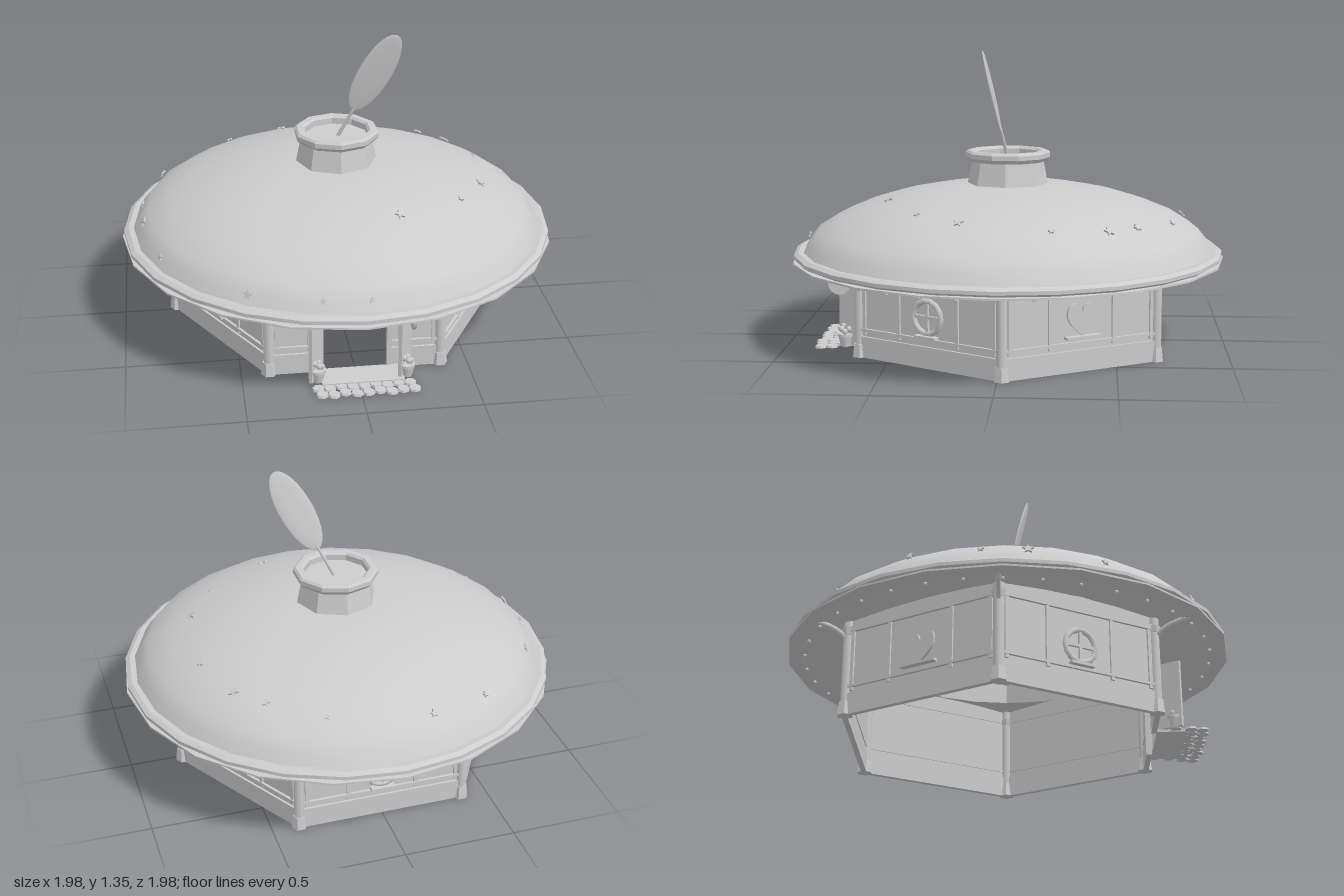
import * as THREE from 'three';
import { toCreasedNormals } from 'three/addons/utils/BufferGeometryUtils.js';

const stone = new THREE.MeshStandardMaterial({ color: 0xcccccc });
const R = 0.76, APO = R * Math.cos(Math.PI / 6), CZ = -0.02;

const flat = (g, a = 0.5) => toCreasedNormals(g, a);
const pts = (a) => a.map(([x, y]) => new THREE.Vector2(x, y));

function add(parent, name, geo, x = 0, y = 0, z = 0) {
  const m = new THREE.Mesh(geo, stone);
  m.name = name;
  m.position.set(x, y, z);
  parent.add(m);
  return m;
}
const box = (p, n, w, h, d, x, y, z) => add(p, n, new THREE.BoxGeometry(w, h, d), x, y, z);

// Dome profile: radius and height
const domeProfile = [[0.945, 0.43], [0.915, 0.48], [0.875, 0.53], [0.78, 0.59], [0.66, 0.64],
  [0.52, 0.683], [0.36, 0.715], [0.2, 0.733], [0, 0.737]];

function domeAt(r) {
  for (let i = 0; i < domeProfile.length - 1; i++) {
    const [r0, y0] = domeProfile[i], [r1, y1] = domeProfile[i + 1];
    if (r <= r0 && r >= r1) {
      const t = (r0 - r) / (r0 - r1);
      return { y: y0 + (y1 - y0) * t, tilt: Math.atan2(y1 - y0, r0 - r1) };
    }
  }
  return { y: 0.44, tilt: 1 };
}

function starGeometry(r) {
  const s = new THREE.Shape();
  for (let i = 0; i < 10; i++) {
    const q = i % 2 ? r * 0.45 : r, a = (i * Math.PI) / 5;
    if (i) s.lineTo(q * Math.sin(a), q * Math.cos(a));
    else s.moveTo(0, q);
  }
  s.closePath();
  return new THREE.ExtrudeGeometry(s, { depth: 0.008, bevelEnabled: false });
}

function heartShape(w) {
  const s = new THREE.Shape();
  s.moveTo(0, -w);
  s.bezierCurveTo(-0.5 * w, -0.6 * w, -w, -0.2 * w, -w, 0.3 * w);
  s.bezierCurveTo(-w, 1.1 * w, -0.1 * w, 1.1 * w, 0, 0.5 * w);
  s.bezierCurveTo(0.1 * w, 1.1 * w, w, 1.1 * w, w, 0.3 * w);
  s.bezierCurveTo(w, -0.2 * w, 0.5 * w, -0.6 * w, 0, -w);
  return s;
}

function buildRoof(g) {
  const roof = new THREE.Group();
  roof.name = 'roof';
  g.add(roof);
  add(roof, 'dome', new THREE.LatheGeometry(pts(domeProfile), 24));
  add(roof, 'rim', flat(new THREE.LatheGeometry(pts([[0.9, 0.4], [0.965, 0.4], [0.985, 0.412],
    [0.985, 0.428], [0.965, 0.44], [0.93, 0.438]]), 24), 0.4));
  add(roof, 'eaveEdge', flat(new THREE.LatheGeometry(pts([[0.93, 0.392], [0.992, 0.392],
    [0.992, 0.4], [0.93, 0.404]]), 20), 0.4));
  add(roof, 'soffit', new THREE.LatheGeometry(pts([[0.655, 0.452], [0.94, 0.395]]), 24));
  // Domed ceiling, seen from inside the house
  const inner = domeProfile.slice(3).reverse().map(([r, y]) => [r, y - 0.012]);
  add(roof, 'ceiling', new THREE.LatheGeometry(pts(inner), 24));

  // Stars: x, z, radius
  const stars = [[-0.18, -0.81, 0.02], [-0.45, -0.72, 0.014], [0.27, -0.74, 0.014], [0.49, -0.58, 0.02],
    [0.6, -0.46, 0.025], [0.69, -0.22, 0.014], [-0.79, -0.38, 0.02], [-0.89, -0.09, 0.014],
    [-0.89, 0.1, 0.025], [-0.82, 0.41, 0.016], [0.64, 0.17, 0.025], [0.51, 0.36, 0.014],
    [0.21, 0.52, 0.025], [-0.47, 0.79, 0.025], [-0.17, 0.9, 0.018], [0.03, 0.915, 0.014]];
  for (const [x, z, r] of stars) {
    const d = domeAt(Math.hypot(x, z));
    const star = add(roof, 'star', starGeometry(r), x, d.y + 0.008, z);
    star.rotation.order = 'YXZ';
    star.rotation.y = Math.atan2(x, z);
    star.rotation.x = Math.min(0, d.tilt + 0.25 - Math.PI / 2);
  }
  // Hanging bulbs under the eave
  for (let i = 0; i < 36; i++) {
    const a = (i * Math.PI) / 18;
    add(roof, 'eaveBulb', new THREE.SphereGeometry(0.008, 6, 5),
      0.91 * Math.sin(a), 0.376 + 0.006 * Math.cos(3 * a), 0.91 * Math.cos(a));
  }
}

function buildChimney(g) {
  const c = new THREE.Group();
  c.name = 'chimney';
  g.add(c);
  add(c, 'chimneyStack', flat(new THREE.LatheGeometry(pts([[0.188, 0.72], [0.162, 0.85]]), 8)));
  add(c, 'chimneyCap', flat(new THREE.LatheGeometry(pts([[0.155, 0.838], [0.18, 0.838], [0.195, 0.855],
    [0.195, 0.876], [0.185, 0.886], [0.158, 0.886], [0.148, 0.876], [0.148, 0.848], [0, 0.848]]), 10), 0.3));

  // Feather: flattened blade on a thin stem
  const f = new THREE.Group();
  f.name = 'feather';
  f.position.set(0.01, 0.85, 0);
  const up = new THREE.Vector3(0.25, 0.5, 0.097).normalize();
  const side = new THREE.Vector3(1, 0, 0).addScaledVector(up, -up.x).normalize();
  f.quaternion.setFromRotationMatrix(
    new THREE.Matrix4().makeBasis(side, up, new THREE.Vector3().crossVectors(side, up)));
  add(f, 'featherStem', new THREE.CylinderGeometry(0.004, 0.009, 0.4, 6), 0, 0.16, 0);
  const blade = add(f, 'featherBlade', new THREE.SphereGeometry(1, 20, 14), 0, 0.355, 0);
  blade.scale.set(0.078, 0.21, 0.009);
  c.add(f);
}

function roundWindow(w) {
  const win = new THREE.Group();
  win.name = 'roundWindow';
  win.position.set(0, 0.225, 0.004);
  w.add(win);
  add(win, 'windowFrame', new THREE.TorusGeometry(0.072, 0.013, 6, 14));
  box(win, 'windowBar', 0.014, 0.14, 0.014, 0, 0, 0);
  box(win, 'windowBar', 0.14, 0.014, 0.014, 0, 0, 0);
  box(win, 'windowSill', 0.11, 0.012, 0.03, 0, -0.085, 0.012);
}

function heartWindow(w) {
  const s = heartShape(0.074);
  s.holes.push(new THREE.Path(heartShape(0.066).getPoints(8)));
  add(w, 'heartFrame', new THREE.ExtrudeGeometry(s,
    { depth: 0.014, bevelEnabled: false, curveSegments: 8 }), 0, 0.23, -0.002);
  box(w, 'heartSill', 0.17, 0.012, 0.03, 0, 0.152, 0.012);
}

function buildWall(g, i) {
  const w = new THREE.Group();
  const a = (i * Math.PI) / 3;
  w.name = 'wall';
  w.position.set(APO * Math.sin(a), 0, APO * Math.cos(a));
  w.rotation.y = a;
  g.add(w);

  // Panel up to the dome, with a doorway cut in the front one
  const H = 0.585, h = R / 2, s = new THREE.Shape();
  s.moveTo(-h, 0);
  if (i === 0) {
    s.lineTo(-0.14, 0); s.lineTo(-0.14, 0.3); s.lineTo(0.14, 0.3); s.lineTo(0.14, 0);
  }
  s.lineTo(h, 0); s.lineTo(h, H); s.lineTo(-h, H);
  s.closePath();
  add(w, 'wallPanel', new THREE.ExtrudeGeometry(s, { depth: 0.008, bevelEnabled: false }), 0, 0, -0.008);

  // Skirting, rails and uprights
  const runs = i === 0 ? [[-0.26, 0.23], [0.26, 0.23]] : [[0, R]];
  for (const [x, len] of runs) {
    box(w, 'skirting', len, 0.095, 0.024, x, 0.0475, -0.002);
    box(w, 'lowerRail', len, 0.012, 0.024, x, 0.126, 0);
  }
  box(w, 'topRail', R, 0.025, 0.024, 0, 0.388, 0);
  const off = i === 0 ? 0.2 : 0.155;
  for (const x of [-0.345, -off, off, 0.345])
    box(w, 'upright', 0.016, 0.29, 0.014, x, 0.25, 0.002);

  if (i === 0) buildDoor(w);
  else if (i === 2 || i === 4) heartWindow(w);
  else roundWindow(w);
}

function buildDoor(w) {
  const arch = add(w, 'doorArch', new THREE.TorusGeometry(0.135, 0.01, 6, 16, Math.PI), 0.01, 0.3, 0.008);
  arch.scale.y = 0.65;
  box(w, 'lintel', 0.3, 0.016, 0.03, 0, 0.304, 0.006);
  for (const k of [-1, 1]) {
    // Open door leaf, its free edge capped by a pointed finial
    const leaf = new THREE.Group();
    leaf.name = 'doorLeaf';
    leaf.position.set(k * 0.165 + 0.015, 0.01, 0.02);
    leaf.rotation.y = k * 0.55;
    leaf.scale.x = k;
    w.add(leaf);
    box(leaf, 'doorPanel', 0.016, 0.3, 0.115, 0, 0.15, 0.057).rotation.y = k * -2 * 0.55 * (k + 1) / 2;
    box(w, 'doorJamb', 0.02, 0.3, 0.03, k * 0.15, 0.15, 0);
    add(w, 'doorFinial', new THREE.ConeGeometry(0.02, 0.03, 8), k * 0.165 + 0.015, 0.325, 0.025);
    // Potted plant beside the step
    add(w, 'plantPot', new THREE.CylinderGeometry(0.034, 0.024, 0.05, 10), k * 0.195 + 0.02, 0.03, 0.09);
    add(w, 'plantPotRim', new THREE.CylinderGeometry(0.037, 0.037, 0.012, 10), k * 0.195 + 0.02, 0.058, 0.09);
    for (let j = 0; j < 5; j++)
      add(w, 'plantLeaf', new THREE.SphereGeometry(0.014, 6, 5),
        k * 0.195 + 0.02 + 0.018 * Math.cos(j * 1.26), 0.075 + 0.01 * (j % 3), 0.09 + 0.018 * Math.sin(j * 1.26));
  }
  // Round lantern on a bracket
  const lamp = add(w, 'lantern', new THREE.CylinderGeometry(0.052, 0.052, 0.014, 18), 0.235, 0.3, 0.11);
  lamp.rotation.z = Math.PI / 2;
  box(w, 'lanternArm', 0.01, 0.01, 0.11, 0.235, 0.345, 0.055);

  // Doorstep and paving stones
  box(w, 'doorstep', 0.36, 0.014, 0.13, 0.02, 0.007, 0.075);
  for (let j = 0; j < 18; j++) {
    const row = Math.floor(j / 9), c = j % 9;
    const p = add(w, 'pavingStone', flat(new THREE.CylinderGeometry(0.025, 0.028, 0.01, 7)),
      -0.18 + c * 0.05 + row * 0.012, 0.005, 0.155 + row * 0.05 + 0.008 * Math.sin(c * 2.3));
    p.rotation.y = j;
  }
}

// Corner post with foot, head and a curved bracket up to the eave
function buildCorner(g, i) {
  const c = new THREE.Group();
  c.name = 'cornerPost';
  c.rotation.y = ((i + 0.5) * Math.PI) / 3;
  g.add(c);
  add(c, 'post', new THREE.CylinderGeometry(0.024, 0.024, 0.44, 8), 0, 0.22, R - 0.005);
  add(c, 'postFoot', flat(new THREE.CylinderGeometry(0.029, 0.036, 0.06, 6)), 0, 0.03, R - 0.005);
  add(c, 'postHead', flat(new THREE.CylinderGeometry(0.032, 0.026, 0.03, 8)), 0, 0.38, R - 0.005);
  const curve = new THREE.QuadraticBezierCurve3(new THREE.Vector3(0, 0.34, R),
    new THREE.Vector3(0, 0.4, R + 0.03), new THREE.Vector3(0, 0.405, R + 0.17));
  add(c, 'eaveBracket', new THREE.TubeGeometry(curve, 8, 0.01, 6));
}

export function createModel() {
  const g = new THREE.Group();
  g.name = 'roundHouse';
  const house = new THREE.Group();
  house.name = 'house';
  house.position.z = CZ;
  g.add(house);
  for (let i = 0; i < 6; i++) {
    buildWall(house, i);
    buildCorner(house, i);
  }
  buildRoof(g);
  buildChimney(g);
  return g;
}
